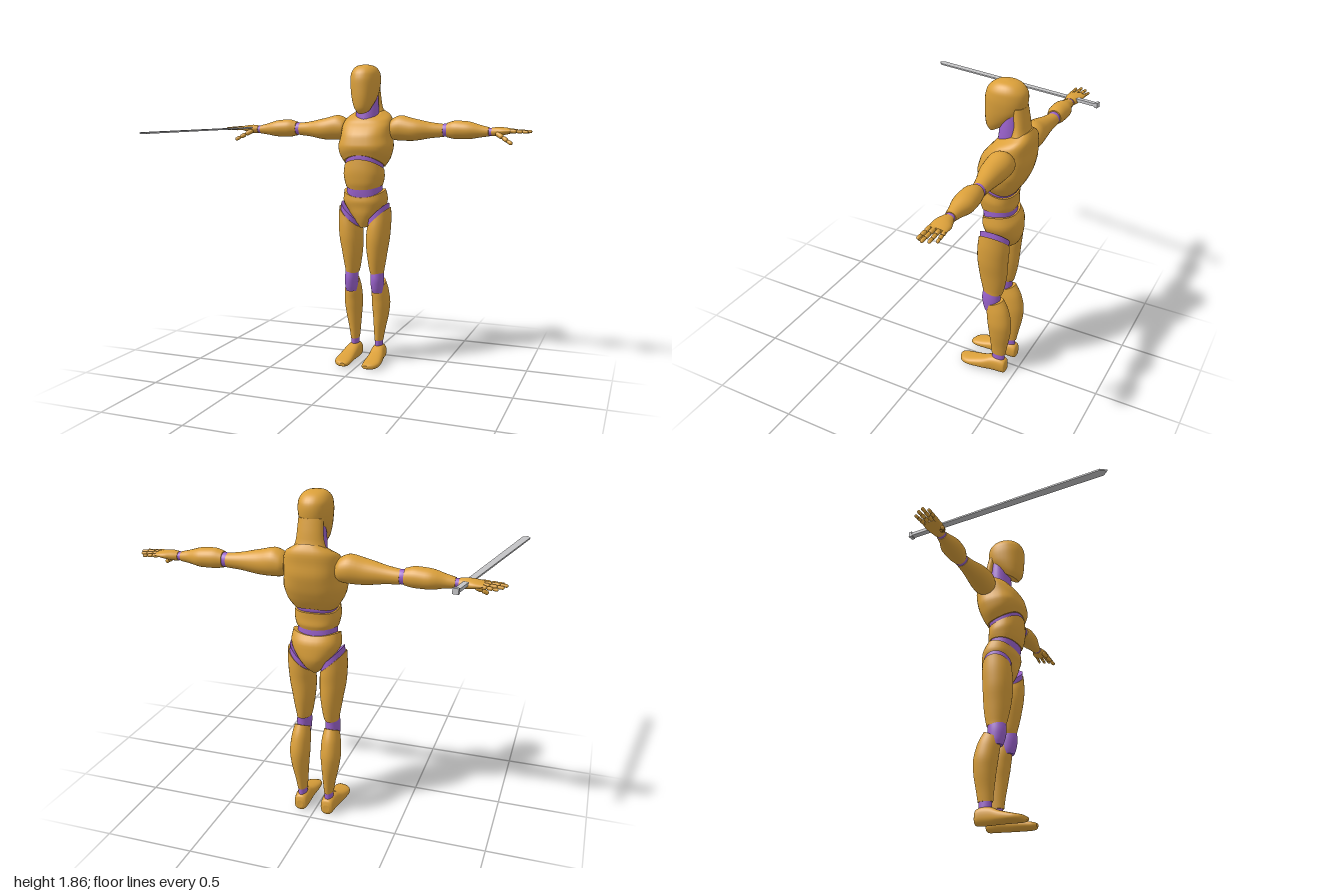
import * as THREE from 'three';

const gold = new THREE.MeshStandardMaterial({ color: 0xdba03a });
gold.name = 'gold shell';
const purple = new THREE.MeshStandardMaterial({ color: 0x9a62cc });
purple.name = 'purple joint';
const steel = new THREE.MeshStandardMaterial({ color: 0xc4c4c6 });
steel.name = 'steel';

// Monotone Hermite value between rows k and k+1 for one column
function blend(rows, k, t, c) {
  const v = (i) => rows[i][c] || 0;
  const d = (i) => v(i + 1) - v(i);
  const tangent = (i) => {
    if (i === 0) return d(0);
    if (i === rows.length - 1) return d(i - 1);
    const a = d(i - 1), b = d(i);
    return a * b <= 0 ? 0 : (2 * a * b) / (a + b);
  };
  const t2 = t * t, t3 = t2 * t;
  return v(k) * (2 * t3 - 3 * t2 + 1) + tangent(k) * (t3 - 2 * t2 + t)
    + v(k + 1) * (3 * t2 - 2 * t3) + tangent(k + 1) * (t3 - t2);
}

// Smooth body through ascending rows: [y, x, z, radiusX, radiusZ, slopeZ, slopeX, archX]
function loft(rows, power = 1, sides = 32, steps = 4) {
  const pos = [], index = [], rings = [];
  for (let k = 0; k < rows.length - 1; k++) {
    const last = k === rows.length - 2 ? 1 : 0;
    for (let s = 0; s < steps + last; s++) {
      rings.push([0, 1, 2, 3, 4, 5, 6, 7].map((c) => blend(rows, k, s / steps, c)));
    }
  }
  const round = (u) => Math.sign(u) * Math.abs(u) ** power;
  const addRing = ([y, x, z, rx, rz, sz, sx, arch]) => {
    for (let i = 0; i < sides; i++) {
      const a = (i / sides) * Math.PI * 2;
      const dx = rx * round(Math.cos(a)), dz = rz * round(Math.sin(a));
      pos.push(x + dx, y + sz * dz + sx * dx + arch * dx * dx, z + dz);
    }
  };
  rings.forEach(addRing);
  for (let r = 0; r < rings.length - 1; r++) {
    for (let i = 0; i < sides; i++) {
      const a = r * sides + i, b = r * sides + ((i + 1) % sides);
      index.push(a, a + sides, b, b, a + sides, b + sides);
    }
  }
  // end caps with their own vertices, so the rims stay crisp
  [rings[0], rings[rings.length - 1]].forEach((ring, top) => {
    const start = pos.length / 3;
    addRing(ring);
    pos.push(ring[1], ring[0], ring[2]);
    for (let i = 0; i < sides; i++) {
      const a = start + i, b = start + ((i + 1) % sides);
      index.push(start + sides, top ? b : a, top ? a : b);
    }
  });
  const g = new THREE.BufferGeometry();
  g.setAttribute('position', new THREE.Float32BufferAttribute(pos, 3));
  g.setIndex(index);
  g.computeVertexNormals();
  return g;
}

// Rows along x: [x, y, z, radiusY, radiusZ]
const loftX = (rows) => loft(rows.map(([x, y, z, ry, rz]) => [x, -y, z, ry, rz])).rotateZ(-Math.PI / 2);
// Rows along z: [z, x, y, radiusX, radiusY]
const loftZ = (rows, power) => loft(rows.map(([z, x, y, rx, ry]) => [z, x, -y, rx, ry]), power).rotateX(Math.PI / 2);

function mirrored(geometry) {
  const g = geometry.clone().scale(-1, 1, 1);
  const ix = g.index.array;
  for (let i = 0; i < ix.length; i += 3) [ix[i], ix[i + 1]] = [ix[i + 1], ix[i]];
  return g;
}

// Capsule between two points
function bone(a, b, r) {
  const dir = b.clone().sub(a), len = dir.length();
  const q = new THREE.Quaternion().setFromUnitVectors(new THREE.Vector3(0, 1, 0), dir.normalize());
  return new THREE.CapsuleGeometry(r, Math.max(len - 2 * r, 0.001), 4, 12)
    .applyQuaternion(q).translate((a.x + b.x) / 2, (a.y + b.y) / 2, (a.z + b.z) / 2);
}

export function createModel() {
  const model = new THREE.Group();
  model.name = 'jointed figure with sword';
  const add = (name, geometry, material, parent = model) => {
    const m = new THREE.Mesh(geometry, material);
    m.name = name;
    parent.add(m);
  };
  const pair = (name, geometry, material) => {
    add(name + 'Left', geometry, material);
    add(name + 'Right', mirrored(geometry), material);
  };

  // Head and neck
  add('head', loft([
    [1.60, 0, -0.325, 0.045, 0.06, -0.6], [1.64, 0, -0.335, 0.066, 0.095, -0.4],
    [1.70, 0, -0.345, 0.082, 0.113, -0.15], [1.76, 0, -0.348, 0.088, 0.116],
    [1.80, 0, -0.35, 0.086, 0.11], [1.835, 0, -0.35, 0.07, 0.085],
    [1.853, 0, -0.348, 0.045, 0.052], [1.86, 0, -0.346, 0.01, 0.01],
  ], 0.92), gold);
  add('neck', loft([[1.50, 0, -0.385, 0.072, 0.076], [1.60, 0, -0.385, 0.07, 0.066], [1.71, 0, -0.39, 0.062, 0.055]]), purple);
  add('nape', loft([
    [1.50, 0, -0.452, 0.12, 0.062], [1.56, 0, -0.445, 0.095, 0.055],
    [1.63, 0, -0.442, 0.073, 0.038], [1.73, 0, -0.425, 0.066, 0.036],
  ]), gold);

  // Torso
  add('chest', loft([
    [1.28, 0, -0.337, 0.125, 0.102, 0.35, 0, -1.5], [1.33, 0, -0.348, 0.16, 0.127, 0.2, 0, -0.5],
    [1.37, 0, -0.36, 0.169, 0.138, 0.08], [1.43, 0, -0.375, 0.158, 0.141],
    [1.49, 0, -0.39, 0.156, 0.125, -0.1], [1.54, 0, -0.405, 0.14, 0.108, -0.25],
    [1.572, 0, -0.405, 0.084, 0.088, -0.4],
  ], 0.8), gold);
  add('torsoCore', loft([
    [1.02, 0, -0.345, 0.115, 0.085], [1.10, 0, -0.338, 0.109, 0.09],
    [1.20, 0, -0.332, 0.11, 0.09], [1.27, 0, -0.335, 0.117, 0.097, 0.35, 0, -1.3], [1.31, 0, -0.34, 0.12, 0.097, 0.35],
  ], 0.88), purple);
  add('abdomen', loft([
    [1.113, 0, -0.335, 0.114, 0.094, -0.1, 0, 1.2], [1.15, 0, -0.332, 0.121, 0.104, 0, 0, 0.4],
    [1.20, 0, -0.328, 0.127, 0.105, 0.15, 0, -0.5], [1.255, 0, -0.331, 0.122, 0.103, 0.35, 0, -1.3],
  ], 0.88), gold);
  add('pelvis', loft([
    [0.868, 0, -0.345, 0.022, 0.06], [0.91, 0, -0.36, 0.06, 0.092], [0.97, 0, -0.364, 0.105, 0.108],
    [1.03, 0, -0.358, 0.139, 0.108, -0.1, 0, 0.5], [1.075, 0, -0.345, 0.131, 0.093, -0.2, 0, 1.5],
  ], 0.88), gold);

  // Legs
  pair('hip', loft([[0.89, 0.092, -0.347, 0.066, 0.087, 0, 0.95], [0.962, 0.088, -0.347, 0.063, 0.086, 0, 0.95]]), purple);
  pair('thigh', loft([
    [0.575, 0.082, -0.345, 0.04, 0.058], [0.605, 0.08, -0.345, 0.046, 0.066], [0.70, 0.081, -0.343, 0.061, 0.083],
    [0.80, 0.088, -0.34, 0.073, 0.091, 0, 0.15], [0.87, 0.092, -0.343, 0.075, 0.093, 0, 0.5],
    [0.93, 0.093, -0.347, 0.071, 0.09, 0, 0.92],
  ]), gold);
  pair('knee', loft([
    [0.455, 0.087, -0.342, 0.034, 0.042], [0.49, 0.086, -0.338, 0.039, 0.05],
    [0.54, 0.085, -0.337, 0.041, 0.056], [0.60, 0.083, -0.343, 0.037, 0.054],
  ]), purple);
  pair('shin', loft([
    [0.135, 0.08, -0.395, 0.026, 0.045], [0.20, 0.083, -0.398, 0.034, 0.053], [0.30, 0.09, -0.401, 0.048, 0.067],
    [0.38, 0.092, -0.397, 0.056, 0.073], [0.45, 0.09, -0.384, 0.053, 0.067, -0.25], [0.515, 0.088, -0.364, 0.043, 0.05, -0.5],
  ]), gold);
  pair('ankle', loft([[0.08, 0.08, -0.395, 0.025, 0.04], [0.15, 0.08, -0.395, 0.023, 0.038]]), purple);
  pair('foot', loftZ([
    [-0.452, 0.08, 0.045, 0.018, 0.024], [-0.443, 0.08, 0.05, 0.035, 0.044], [-0.40, 0.08, 0.055, 0.042, 0.052],
    [-0.36, 0.083, 0.053, 0.044, 0.05], [-0.30, 0.09, 0.041, 0.048, 0.037], [-0.22, 0.093, 0.03, 0.053, 0.025],
    [-0.17, 0.087, 0.025, 0.043, 0.019], [-0.146, 0.074, 0.024, 0.016, 0.01],
  ], 0.8), gold);

  // Arms
  pair('upperArm', loftX([
    [0.14, 1.47, -0.415, 0.05, 0.055], [0.165, 1.473, -0.415, 0.068, 0.068], [0.21, 1.478, -0.415, 0.077, 0.072],
    [0.30, 1.468, -0.41, 0.066, 0.065], [0.40, 1.466, -0.42, 0.047, 0.047], [0.472, 1.465, -0.428, 0.039, 0.039],
  ]), gold);
  pair('elbow', loftX([[0.45, 1.466, -0.428, 0.034, 0.034], [0.483, 1.467, -0.428, 0.039, 0.038], [0.52, 1.467, -0.428, 0.035, 0.034]]), purple);
  pair('forearm', loftX([
    [0.495, 1.468, -0.428, 0.044, 0.042], [0.55, 1.47, -0.425, 0.055, 0.055], [0.62, 1.468, -0.425, 0.053, 0.058],
    [0.70, 1.463, -0.42, 0.036, 0.038], [0.748, 1.46, -0.42, 0.027, 0.03],
  ]), gold);
  pair('wrist', loftX([[0.73, 1.46, -0.42, 0.023, 0.026], [0.78, 1.46, -0.42, 0.023, 0.026]]), purple);

  // Hands: palm, four fingers of three bones, thumb
  pair('palm', loftX([
    [0.766, 1.46, -0.42, 0.025, 0.03], [0.80, 1.462, -0.42, 0.027, 0.042],
    [0.84, 1.465, -0.423, 0.022, 0.051], [0.888, 1.467, -0.424, 0.012, 0.05],
  ]), gold);
  const digit = (name, from, to, radius) => {
    const a = new THREE.Vector3(...from), b = new THREE.Vector3(...to);
    [0, 0.4, 0.7].forEach((t, i) => {
      const end = [0.43, 0.73, 1][i];
      pair(name + 'Bone' + (i + 1), bone(a.clone().lerp(b, t), a.clone().lerp(b, end), radius * (1 - 0.12 * i)), gold);
    });
  };
  digit('littleFinger', [0.865, 1.465, -0.46], [0.962, 1.458, -0.469], 0.011);
  digit('ringFinger', [0.865, 1.468, -0.436], [0.986, 1.462, -0.44], 0.012);
  digit('middleFinger', [0.865, 1.469, -0.411], [1.0, 1.464, -0.409], 0.012);
  digit('indexFinger', [0.865, 1.467, -0.387], [0.982, 1.462, -0.38], 0.012);
  digit('thumb', [0.795, 1.455, -0.39], [0.898, 1.393, -0.335], 0.015);

  // Sword lying across the right hand, built along its own +z
  const sword = new THREE.Group();
  sword.name = 'sword';
  const start = new THREE.Vector3(-0.778, 1.472, -0.594), tip = new THREE.Vector3(-0.985, 1.462, 0.588);
  const length = start.distanceTo(tip);
  const outline = new THREE.Shape([[-0.018, 0.18], [0.018, 0.18], [0.023, length - 0.03], [0, length], [-0.023, length - 0.03]]
    .map(([x, y]) => new THREE.Vector2(x, y)));
  const blade = new THREE.ExtrudeGeometry(outline, { depth: 0.009, bevelEnabled: false });
  add('blade', blade.rotateX(Math.PI / 2).translate(0, 0.0045, 0), steel, sword);
  add('grip', new THREE.BoxGeometry(0.028, 0.018, 0.2).translate(0, 0, 0.105), steel, sword);
  add('pommel', new THREE.BoxGeometry(0.032, 0.03, 0.018).translate(0, 0, 0.009), steel, sword);
  sword.position.copy(start);
  sword.lookAt(tip);
  model.add(sword);

  return model;
}
